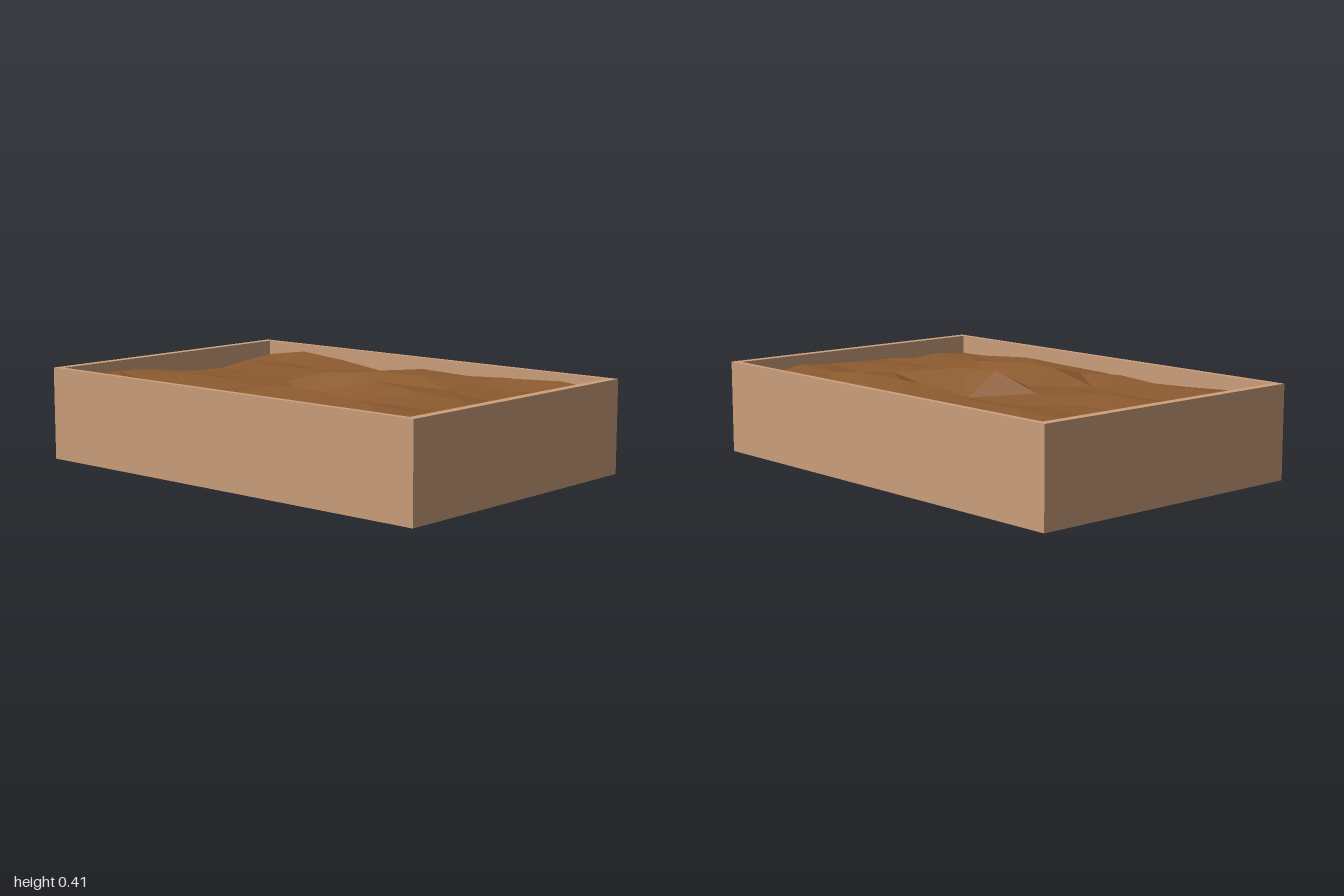
import * as THREE from 'three';

// Soil heights in thousandths, rows from back to front, columns from -x to +x
const HEIGHTS = [
  [336, 370, 350, 320, 350, 343, 357, 370, 350],
  [320, 330, 315, 330, 345, 335, 320, 335, 330],
  [300, 340, 345, 345, 370, 375, 375, 350, 357],
  [300, 325, 330, 310, 310, 320, 360, 330, 345],
  [320, 330, 320, 340, 407, 390, 365, 350, 337],
  [345, 350, 350, 335, 325, 330, 335, 335, 335],
  [355, 325, 320, 330, 385, 385, 360, 350, 320],
  [345, 355, 350, 365, 345, 345, 330, 345, 330],
  [335, 340, 325, 315, 330, 335, 343, 320, 315],
];

function soilGeometry(width, depth) {
  const n = HEIGHTS.length;
  const positions = [];
  const index = [];
  HEIGHTS.forEach((row, j) => row.forEach((h, i) => {
    positions.push((i / (n - 1) - 0.5) * width, h / 1000, (j / (n - 1) - 0.5) * depth);
  }));
  for (let j = 0; j < n - 1; j++) {
    for (let i = 0; i < n - 1; i++) {
      const a = j * n + i, b = a + n, c = b + 1, d = a + 1;
      // Split each cell along its flatter diagonal
      const fall = Math.abs(HEIGHTS[j][i] - HEIGHTS[j + 1][i + 1]);
      const rise = Math.abs(HEIGHTS[j + 1][i] - HEIGHTS[j][i + 1]);
      if (fall < rise) index.push(a, b, c, a, c, d);
      else index.push(a, b, d, b, c, d);
    }
  }
  const geometry = new THREE.BufferGeometry();
  geometry.setAttribute('position', new THREE.Float32BufferAttribute(positions, 3));
  geometry.setIndex(index);
  geometry.computeVertexNormals();
  return geometry;
}

function rectangle(PathType, x, z) {
  return new PathType([[-x, -z], [x, -z], [x, z], [-x, z]].map(p => new THREE.Vector2(...p)));
}

export function createModel() {
  const model = new THREE.Group();
  model.name = 'soilBox';
  const wood = new THREE.MeshStandardMaterial({ color: 0xcd9f7c });
  wood.name = 'paleWood';
  const earth = new THREE.MeshStandardMaterial({ color: 0x8b5a2f, flatShading: true });
  earth.name = 'brownEarth';

  const add = (name, geometry, material) => {
    const mesh = new THREE.Mesh(geometry, material);
    mesh.name = name;
    model.add(mesh);
    return mesh;
  };

  // Four walls as one hollow frame
  const outline = rectangle(THREE.Shape, 1, 0.667);
  outline.holes.push(rectangle(THREE.Path, 0.96, 0.64));
  const walls = new THREE.ExtrudeGeometry(outline, { depth: 0.4, bevelEnabled: false });
  add('walls', walls.rotateX(-Math.PI / 2), wood);

  // Floor inside the frame
  add('floor', new THREE.BoxGeometry(1.92, 0.04, 1.28), wood).position.y = 0.02;

  // Uneven soil, its edges tucked into the walls
  add('soil', soilGeometry(1.96, 1.31), earth);

  return model;
}
